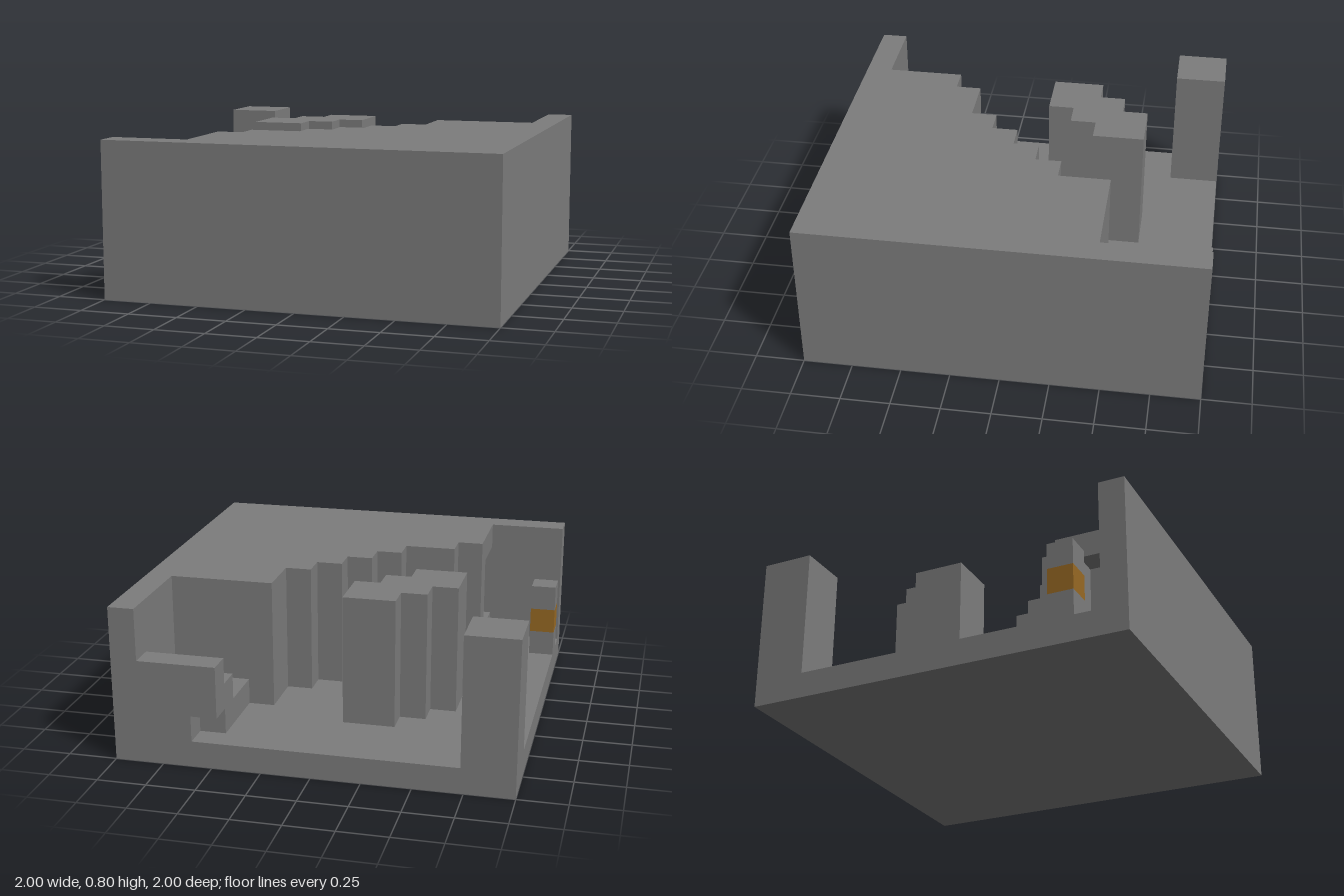
import * as THREE from 'three';

// The model is a 15 x 6 x 15 block grid; sizes below are in blocks.
const UNIT = 2 / 15;
const stone = new THREE.MeshStandardMaterial({ color: 0x7d7d7d });
stone.name = 'stone grey';
const amber = new THREE.MeshStandardMaterial({ color: 0x996a24 });
amber.name = 'amber';

export function createModel() {
  const model = new THREE.Group();
  model.name = 'blockRoom';

  function add(name, geometry, material) {
    const mesh = new THREE.Mesh(geometry, material);
    mesh.name = name;
    model.add(mesh);
  }

  // Box between two grid corners
  function box(name, [x0, y0, z0], [x1, y1, z1], material = stone) {
    const g = new THREE.BoxGeometry((x1 - x0) * UNIT, (y1 - y0) * UNIT, (z1 - z0) * UNIT);
    g.translate((x0 + x1) / 2 * UNIT - 1, (y0 + y1) / 2 * UNIT, (z0 + z1) / 2 * UNIT - 1);
    add(name, g, material);
  }

  // Ground plan of [x, z] corners raised from y0 to y1
  function prism(name, plan, y0, y1) {
    const shape = new THREE.Shape(plan.map(([x, z]) => new THREE.Vector2(x * UNIT - 1, 1 - z * UNIT)));
    const g = new THREE.ExtrudeGeometry(shape, { depth: (y1 - y0) * UNIT, bevelEnabled: false });
    g.rotateX(-Math.PI / 2);
    g.translate(0, y0 * UNIT, 0);
    add(name, g, stone);
  }

  box('floor', [0, 0, 0], [15, 1, 15]);

  // Stepped wall, with an alcove in its middle layer
  const wallStart = [[15, 0], [14, 0], [14, 4], [10, 4], [10, 6], [9, 6], [9, 7], [8, 7], [8, 8],
    [7, 8], [7, 9], [6, 9], [6, 10], [4, 10], [4, 11], [3, 11]];
  const alcove = [[3, 12], [4, 12], [4, 14]];
  const wallEnd = [[0, 14], [0, 15], [15, 15]];
  const plain = [...wallStart, [3, 14], ...wallEnd];
  prism('wallBase', plain, 1, 2);
  prism('wallWithAlcove', [...wallStart, ...alcove, ...wallEnd], 2, 5);
  prism('wallTop', plain, 5, 6);

  // Free-standing zigzag pier and corner pillar
  prism('centrePier', [[5, 3], [7, 3], [7, 5], [6, 5], [6, 6], [5, 6], [5, 7], [3, 7], [3, 5],
    [4, 5], [4, 4], [5, 4]], 1, 6);
  box('cornerPillar', [0, 1, 0], [2, 6, 2]);

  // Stairs, the highest step overhanging a small gap
  box('lowStep', [11, 1, 2], [14, 2, 4]);
  box('middleStep', [11, 1, 1], [14, 3, 2]);
  box('highStep', [11, 2, 0], [14, 4, 1]);
  box('highStepSupport', [12, 1, 0], [14, 2, 1]);

  // Small post with an amber band
  box('postFoot', [0, 1, 12], [1, 2, 13]);
  box('postBand', [0, 2, 12], [1, 3, 13], amber);
  box('postCap', [0, 3, 12], [1, 4, 13]);

  return model;
}
